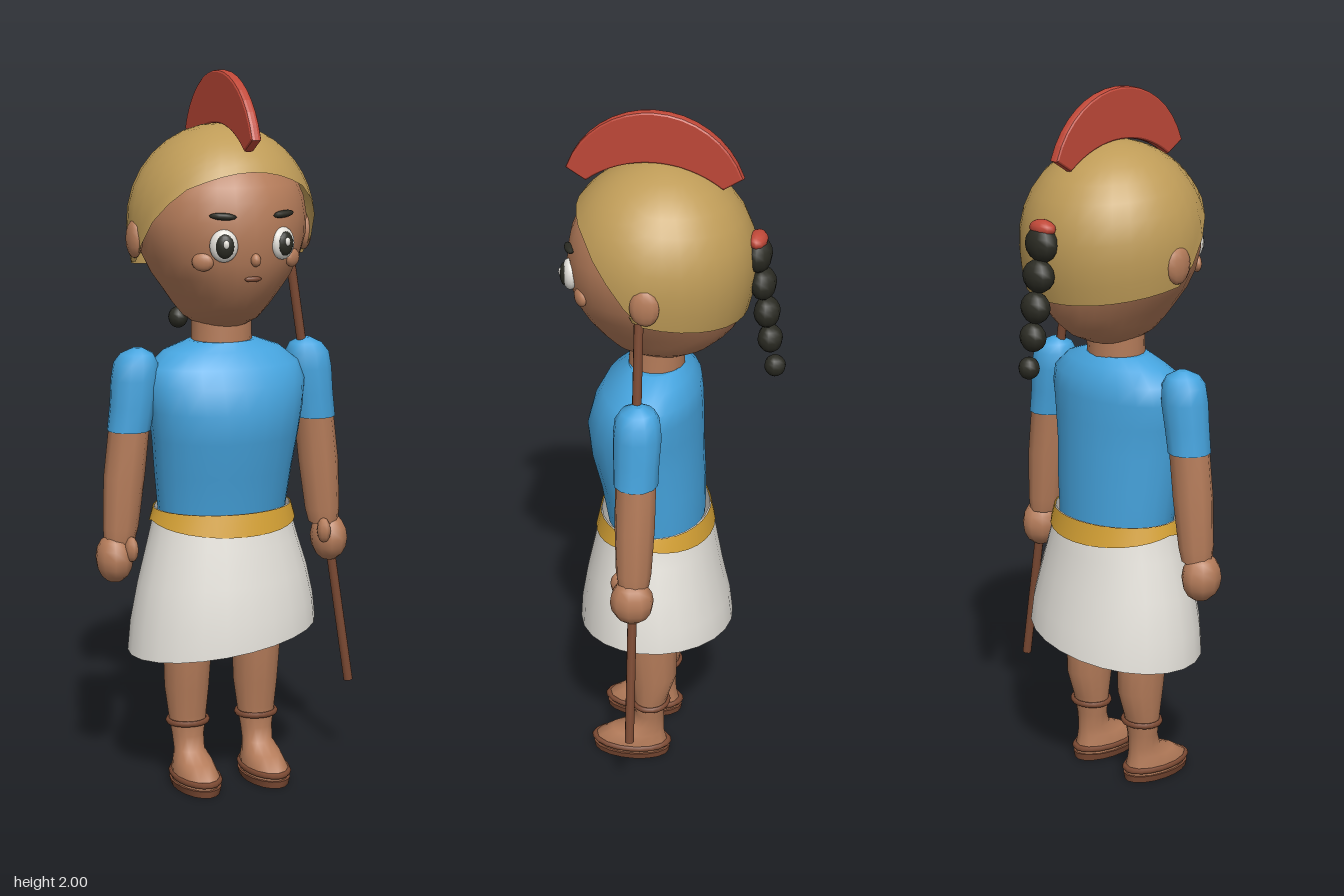
import * as THREE from 'three';

const mat = (name, color, side = THREE.FrontSide) => {
  const m = new THREE.MeshStandardMaterial({ color, side });
  m.name = name;
  return m;
};

// Piecewise linear lookup in rows sorted by their first number
function lerpRows(rows, t, k) {
  let i = 1;
  while (i < rows.length - 1 && t > rows[i][0]) i++;
  const [a, b] = [rows[i - 1], rows[i]];
  return THREE.MathUtils.lerp(a[k], b[k], THREE.MathUtils.clamp((t - a[0]) / (b[0] - a[0]), 0, 1));
}

// Closed tube of rings; fn(row, angle) gives a point, rows run bottom to top
function ringSurface(rows, sides, fn) {
  const pos = [], idx = [];
  for (let r = 0; r < rows; r++)
    for (let i = 0; i < sides; i++) pos.push(...fn(r, (i / sides) * Math.PI * 2));
  for (let r = 0; r < rows - 1; r++)
    for (let i = 0; i < sides; i++) {
      const a = r * sides + i, b = r * sides + ((i + 1) % sides);
      idx.push(a, b, b + sides, a, b + sides, a + sides);
    }
  const g = new THREE.BufferGeometry();
  g.setAttribute('position', new THREE.Float32BufferAttribute(pos, 3));
  g.setIndex(idx);
  g.computeVertexNormals();
  return g;
}

// Elliptical cross-sections [y, rx, rz, cz, cx]
function loft(rings, sides = 12, { cap = true, warp = (x, y) => y, flip = 1 } = {}) {
  const end = (r) => [r[0], 0, 0, r[3], r[4]];
  const first = rings[0], last = rings[rings.length - 1];
  const all = cap ? [end(first), first, ...rings, last, end(last)] : rings;
  return ringSurface(all.length, sides, (r, a) => {
    const [y, rx, rz, cz = 0, cx = 0] = all[r];
    const x = cx * flip + rx * Math.sin(a);
    return [x, warp(x, y, a), cz + rz * Math.cos(a)];
  });
}

export function createModel() {
  const skin = mat('skin', 0xb57c5a), gold = mat('helmet gold', 0xbf9c58, THREE.DoubleSide);
  const red = mat('crest red', 0xc04838), blue = mat('shirt blue', 0x46a4de);
  const white = mat('white', 0xe4e1da, THREE.DoubleSide), yellow = mat('belt yellow', 0xd6a235, THREE.DoubleSide);
  const dark = mat('hair black', 0x2b2b23), brown = mat('leather brown', 0x7c4a33);

  const model = new THREE.Group();
  model.name = 'figure';
  const body = new THREE.Group();
  body.name = 'body';
  body.position.x = -0.017;
  model.add(body);
  const add = (name, geo, material, parent = body) => {
    const m = new THREE.Mesh(geo, material);
    m.name = name;
    parent.add(m);
    return m;
  };
  const ball = (name, material, [x, y, z], [rx, ry, rz], yaw = 0, w = 14, h = 10) => {
    const m = add(name, new THREE.SphereGeometry(1, w, h), material);
    m.position.set(x, y, z);
    m.scale.set(rx, ry, rz);
    m.rotation.y = yaw;
    return m;
  };

  // Torso and neck
  add('shirt', loft([
    [0.78, 0.184, 0.138, 0.045], [0.9, 0.198, 0.148, 0.055], [1.0, 0.21, 0.158, 0.07],
    [1.08, 0.222, 0.161, 0.074], [1.15, 0.232, 0.15, 0.066], [1.2, 0.218, 0.134, 0.055],
    [1.24, 0.17, 0.1, 0.045], [1.265, 0.1, 0.076, 0.045],
  ], 24), blue);
  add('neck', loft([[1.22, 0.085, 0.078, 0.045], [1.36, 0.084, 0.078, 0.04]], 16), skin);

  // Slanted skirt with a dipping belt
  add('skirt', loft([
    [0.423, 0.272, 0.22, 0.045], [0.5, 0.265, 0.213, 0.047], [0.6, 0.245, 0.193, 0.05],
    [0.7, 0.217, 0.173, 0.048], [0.75, 0.204, 0.163, 0.048], [0.8, 0.195, 0.152, 0.047],
  ], 24, { cap: false, warp: (x, y) => y + 0.137 * x * Math.max(0, (0.75 - y) / 0.327) }), white);
  add('belt', loft([[0.745, 0.21, 0.169, 0.048], [0.8, 0.199, 0.156, 0.047]], 32, {
    cap: false, warp: (x, y, a) => (y > 0.78 ? y : 0.768 - 0.03 * Math.abs(Math.cos(a))),
  }), yellow);

  // Arms and legs, mirrored
  for (const s of [1, -1]) {
    const side = s > 0 ? 'left' : 'right';
    const limb = { flip: s };
    add(side + 'Sleeve', loft([
      [1.03, 0.06, 0.062, 0.052, 0.278], [1.1, 0.062, 0.064, 0.052, 0.268], [1.17, 0.066, 0.067, 0.05, 0.26],
      [1.215, 0.062, 0.062, 0.05, 0.256], [1.24, 0.045, 0.047, 0.05, 0.252], [1.255, 0.015, 0.015, 0.05, 0.25],
    ], 12, limb), blue);
    add(side + 'Forearm', loft([
      [0.72, 0.042, 0.044, 0.055, 0.309], [0.76, 0.049, 0.05, 0.055, 0.305], [0.9, 0.057, 0.056, 0.053, 0.293],
      [1.06, 0.056, 0.057, 0.052, 0.275],
    ], 10, limb), skin);
    ball(side + 'Hand', skin, [s * 0.325, 0.675, 0.057], [0.052, 0.069, 0.062], 0, 10, 8);
    ball(side + 'Thumb', skin, [s * 0.29, 0.705, 0.1], [0.02, 0.036, 0.024], 0, 8, 6);

    add(side + 'Leg', loft([
      [0.015, 0.06, 0.108, 0.103, 0.105], [0.045, 0.06, 0.105, 0.105, 0.105], [0.075, 0.052, 0.078, 0.085, 0.105],
      [0.1, 0.043, 0.05, 0.058, 0.105], [0.14, 0.046, 0.042, 0.05, 0.105], [0.2, 0.055, 0.05, 0.046, 0.105],
      [0.28, 0.063, 0.07, 0.04, 0.105], [0.365, 0.067, 0.075, 0.045, 0.105], [0.6, 0.08, 0.09, 0.05, 0.105],
    ], 14, limb), skin);
    add(side + 'Sole', loft([[0, 0.06, 0.112, 0.105, 0.105], [0.02, 0.066, 0.115, 0.105, 0.105]], 18, limb), brown);
    for (const [name, y, rx, rz, cz] of [['AnkleStrap', 0.18, 0.057, 0.052, 0.047], ['FootStrap', 0.035, 0.06, 0.107, 0.105]]) {
      const strap = add(side + name, new THREE.TorusGeometry(1, 0.12, 6, 20), brown);
      strap.rotation.x = Math.PI / 2;
      strap.scale.set(rx, rz, 0.07);
      strap.position.set(s * 0.105, y, cz);
    }
  }

  // Head, narrower at the chin
  const headRings = [
    [1.305, 0.065, 0.08, 0.03], [1.33, 0.1, 0.135, 0.03], [1.365, 0.127, 0.175, 0.028], [1.4, 0.15, 0.205, 0.028],
    [1.45, 0.187, 0.231, 0.03], [1.5, 0.213, 0.247, 0.031], [1.56, 0.231, 0.254, 0.031], [1.61, 0.234, 0.252, 0.031],
    [1.66, 0.226, 0.242, 0.031], [1.7, 0.21, 0.226, 0.03], [1.75, 0.17, 0.188, 0.03], [1.79, 0.12, 0.14, 0.03],
    [1.82, 0.05, 0.05, 0.03],
  ];
  add('head', loft(headRings, 28), skin);
  const faceZ = (x, y) => {
    const rx = lerpRows(headRings, y, 1), rz = lerpRows(headRings, y, 2);
    return 0.03 + rz * Math.sqrt(Math.max(0, 1 - (x / rx) ** 2));
  };

  // Face
  for (const s of [1, -1]) {
    const side = s > 0 ? 'left' : 'right', yaw = s * 0.36;
    const onFace = (x, y, out) => [s * x + Math.sin(yaw) * out, y, faceZ(x, y) + Math.cos(yaw) * out];
    ball(side + 'Eye', white, onFace(0.085, 1.55, 0), [0.038, 0.044, 0.022], yaw);
    ball(side + 'Iris', dark, onFace(0.083, 1.55, 0.012), [0.026, 0.033, 0.015], yaw);
    ball(side + 'EyeGlint', white, onFace(0.08, 1.556, 0.023), [0.009, 0.012, 0.006], yaw, 8, 6);
    const brow = ball(side + 'Eyebrow', dark, onFace(0.086, 1.628, 0.004), [0.037, 0.01, 0.013], yaw, 10, 6);
    brow.rotation.z = s * 0.06;
    ball(side + 'Cheek', skin, onFace(0.13, 1.505, 0), [0.03, 0.025, 0.014], s * 0.6);
    ball(side + 'Ear', skin, [s * 0.25, 1.55, 0.03], [0.02, 0.052, 0.042], 0, 10, 8);
  }
  ball('nose', skin, [0, 1.51, faceZ(0, 1.51) + 0.003], [0.014, 0.018, 0.015], 0, 10, 8);
  ball('mouth', brown, [0, 1.457, faceZ(0, 1.457)], [0.025, 0.008, 0.007], 0, 10, 6);

  // Helmet dome, its rim height follows the heading around the head
  const rim = [[-1, 1.445], [0, 1.49], [0.13, 1.52], [0.36, 1.6], [0.67, 1.69], [1, 1.74]];
  const rows = 11;
  add('helmet', ringSurface(rows, 32, (r, a) => {
    const bottom = Math.acos((lerpRows(rim, Math.cos(a), 1) - 1.59) / 0.267);
    const t = bottom * (1 - r / (rows - 1));
    const k = t > Math.PI / 2 ? 0.5 + 0.5 * Math.sin(t) : Math.sin(t);
    return [0.257 * k * Math.sin(a), 1.59 + 0.267 * Math.cos(t), 0.035 + 0.265 * k * Math.cos(a)];
  }), gold);

  // Crescent crest, drawn in the z-y plane
  const crescent = new THREE.Shape();
  const arc = (r, cy, half) => Array.from({ length: 17 }, (_, i) => {
    const a = half * (1 - i / 8);
    return new THREE.Vector2(r * Math.sin(a), cy + r * Math.cos(a));
  });
  crescent.setFromPoints([...arc(0.246, 1.748, 1.235), ...arc(0.306, 1.556, 0.65).reverse()]);
  const crestGeo = new THREE.ExtrudeGeometry(crescent, {
    depth: 0.01, bevelSize: 0.006, bevelThickness: 0.01, bevelSegments: 2,
  });
  crestGeo.translate(0, 0, -0.005);
  crestGeo.rotateY(-Math.PI / 2);
  add('crest', crestGeo, red).position.z = 0.047;

  // Braid of shrinking beads with a tie on top
  [[1.61, -0.235, 0.054, 0.05, 0.037], [1.525, -0.248, 0.05, 0.046, 0.037], [1.44, -0.26, 0.045, 0.044, 0.037],
    [1.36, -0.27, 0.039, 0.04, 0.035], [1.277, -0.285, 0.029, 0.031, 0.03]]
    .forEach(([y, z, rx, ry, rz], i) => ball('braidBead' + (i + 1), dark, [0, y, z], [rx, ry, rz], 0, 10, 8));
  ball('braidTie', red, [0, 1.653, -0.232], [0.044, 0.024, 0.027], 0, 10, 8);

  // Slanted staff held in the left hand
  const top = new THREE.Vector3(0.182, 1.49, 0.055), foot = new THREE.Vector3(0.376, 0.24, 0.055);
  const dir = top.clone().sub(foot);
  const staff = new THREE.Group();
  staff.name = 'staff';
  staff.position.copy(foot).addScaledVector(dir, 0.5);
  staff.quaternion.setFromUnitVectors(new THREE.Vector3(0, 1, 0), dir.clone().normalize());
  model.add(staff);
  add('staffShaft', new THREE.CylinderGeometry(0.013, 0.013, dir.length(), 10), brown, staff);
  add('staffCollar', new THREE.CylinderGeometry(0.028, 0.02, 0.016, 10), gold, staff).position.y = dir.length() / 2;

  return model;
}
